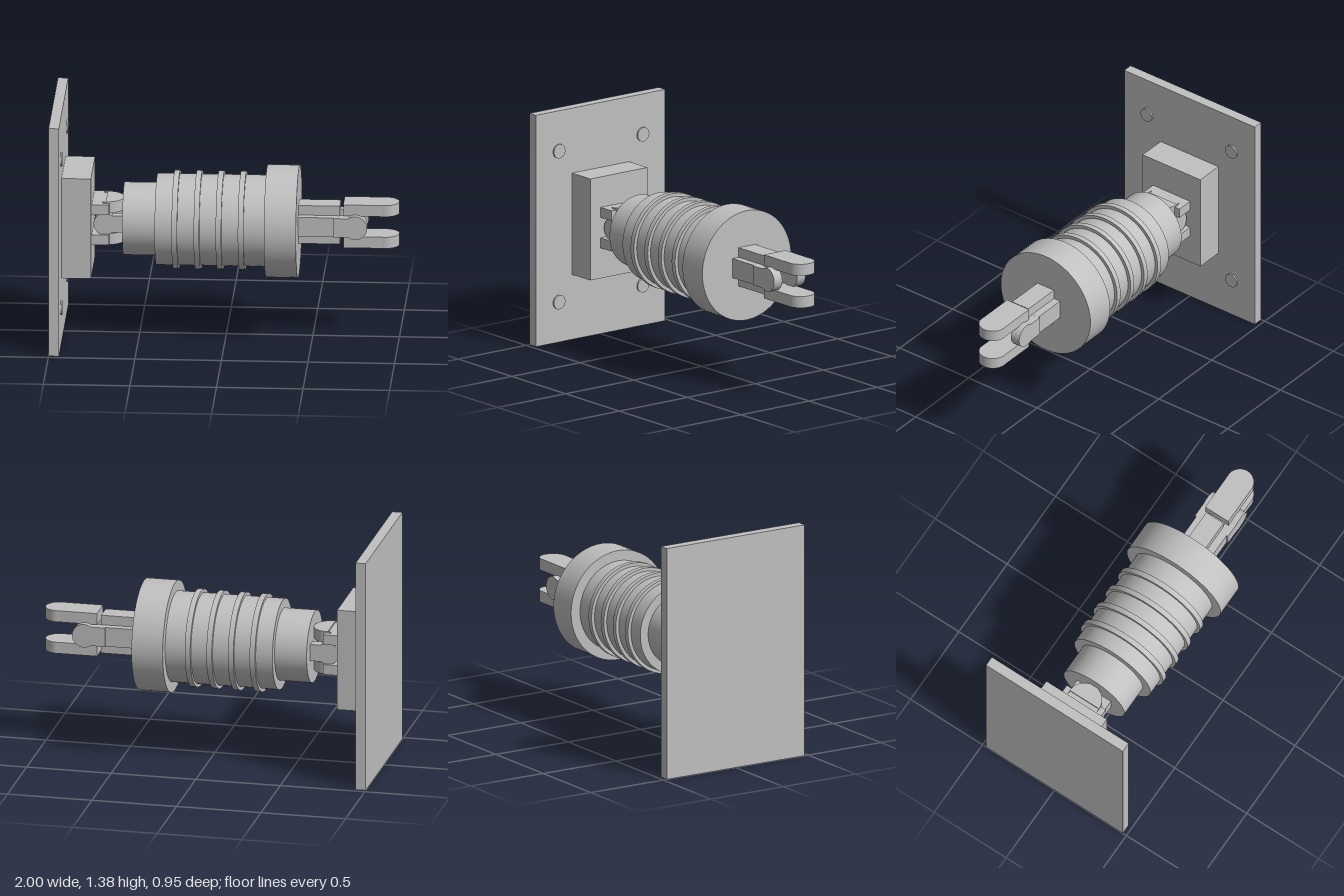
import * as THREE from 'three';

const AXIS_Y = 0.69;

export function createModel() {
  const model = new THREE.Group();
  const grey = new THREE.MeshStandardMaterial({ color: 0xc0c0c0 });
  grey.name = 'light grey metal';

  const add = (name, geometry, x, y, z) => {
    const mesh = new THREE.Mesh(geometry, grey);
    mesh.name = name;
    mesh.position.set(x, y, z);
    model.add(mesh);
    return mesh;
  };

  // Box given by its x range and its centre and size in y and z
  const bar = (name, x0, x1, y, h, z, d) =>
    add(name, new THREE.BoxGeometry(x1 - x0, h, d), (x0 + x1) / 2, y, z);

  // Cylinder lying along x
  const drum = (name, x0, x1, r, y = AXIS_Y, z = 0, sides = 64) =>
    add(name, new THREE.CylinderGeometry(r, r, x1 - x0, sides).rotateZ(-Math.PI / 2), (x0 + x1) / 2, y, z);

  // Flat prong in the xy plane with a round end at x = tip (dir is the way it points)
  const prong = (name, root, tip, halfNeck, r, thickness, dir) => {
    const c = tip - dir * r;
    const neckX = c - dir * Math.sqrt(r * r - halfNeck * halfNeck);
    const a = Math.asin(Math.min(1, halfNeck / r));
    const shape = new THREE.Shape();
    shape.moveTo(root, -halfNeck);
    shape.lineTo(neckX, -halfNeck);
    if (dir > 0) shape.absarc(c, 0, r, -Math.PI + a, Math.PI - a, false);
    else shape.absarc(c, 0, r, -a, a, true);
    shape.lineTo(root, halfNeck);
    shape.closePath();
    const geo = new THREE.ExtrudeGeometry(shape, { depth: thickness, bevelEnabled: false, curveSegments: 32 });
    geo.translate(0, 0, -thickness / 2);
    return add(name, geo, 0, AXIS_Y, 0);
  };

  // Wall plate, mounting block and bolts
  bar('wallPlate', -1, -0.94, AXIS_Y, 1.38, 0, 0.95);
  bar('mountingBlock', -0.94, -0.77, AXIS_Y, 0.605, 0, 0.42);
  for (const y of [0.24, 1.14])
    for (const z of [-0.308, 0.308]) drum('bolt', -0.945, -0.93, 0.042, y, z, 32);

  // Cylindrical body with ribs and a wide collar
  drum('neck', -0.59, -0.4, 0.211);
  drum('barrel', -0.4, 0.24, 0.265);
  for (const x of [-0.285, -0.157, -0.03, 0.098]) drum('rib', x - 0.016, x + 0.016, 0.285);
  drum('collar', 0.235, 0.42, 0.326);

  // Crossed stem coming out of the collar
  bar('stemVertical', 0.42, 0.66, AXIS_Y, 0.23, 0, 0.12);
  bar('stemHorizontal', 0.42, 0.627, AXIS_Y, 0.115, 0, 0.21);

  for (const s of [-1, 1]) {
    // Front clevis: side prongs and the longer top and bottom prongs
    prong('sideProng', 0.625, 0.82, 0.057, 0.07, 0.06, 1).position.z = s * 0.085;
    const tip = prong('outerProng', 0.68, 1, 0.08, 0.081, 0.068, 1);
    tip.rotation.x = Math.PI / 2;
    tip.position.y = AXIS_Y + s * 0.096;

    // Rear joint: top and bottom prongs from the block, side prongs from the neck
    bar('rearProngRoot', -0.77, -0.67, AXIS_Y + s * 0.091, 0.06, 0, 0.27);
    const rear = prong('rearProng', -0.69, -0.587, 0.1, 0.102, 0.068, 1);
    rear.rotation.x = Math.PI / 2;
    rear.position.y = AXIS_Y + s * 0.096;
    prong('rearSideProng', -0.59, -0.76, 0.05, 0.065, 0.06, -1).position.z = s * 0.087;
  }

  return model;
}
